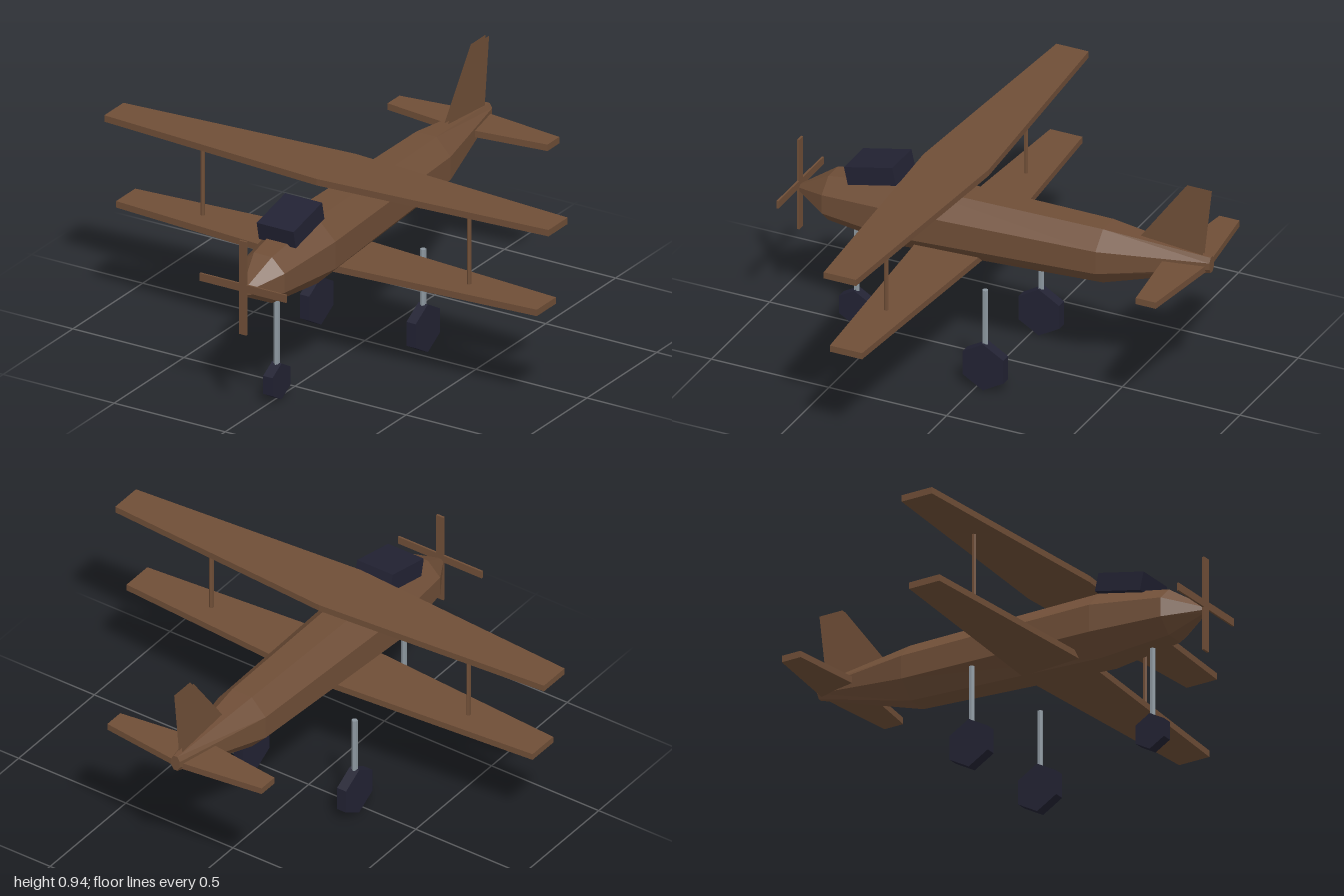
import * as THREE from 'three';

const material = (name, color) => {
  const m = new THREE.MeshStandardMaterial({ color, flatShading: true });
  m.name = name;
  return m;
};

// Tapered surface seen from above, full span, extruded upward from y
function taperedWing(halfSpan, rootFront, rootBack, tipFront, tipBack, y, thickness) {
  const shape = new THREE.Shape([
    [0, rootFront], [halfSpan, tipFront], [halfSpan, tipBack],
    [0, rootBack], [-halfSpan, tipBack], [-halfSpan, tipFront],
  ].map(([x, z]) => new THREE.Vector2(x, -z)));
  return new THREE.ExtrudeGeometry(shape, { depth: thickness, bevelEnabled: false })
    .rotateX(-Math.PI / 2).translate(0, y, 0);
}

// Octagonal body lofted through stations [z, halfWidth, bottom, top]
function loftBody(stations) {
  const sides = 8, positions = [], index = [];
  const k = 1 / Math.cos(Math.PI / sides);
  for (const [z, w, bottom, top] of stations) {
    for (let i = 0; i < sides; i++) {
      const a = (i + 0.5) * 2 * Math.PI / sides;
      positions.push(w * k * Math.cos(a), (top + bottom) / 2 + (top - bottom) / 2 * k * Math.sin(a), z);
    }
  }
  const last = (stations.length - 1) * sides;
  for (let s = 0; s < last; s += sides) {
    for (let i = 0; i < sides; i++) {
      const j = (i + 1) % sides;
      const a = s + i, b = s + j, c = a + sides, d = b + sides;
      index.push(a, c, b, b, c, d);
    }
  }
  for (let i = 1; i < sides - 1; i++) {
    index.push(0, i, i + 1, last, last + i + 1, last + i);
  }
  const g = new THREE.BufferGeometry();
  g.setAttribute('position', new THREE.Float32BufferAttribute(positions, 3));
  g.setIndex(index);
  const flat = g.toNonIndexed();
  flat.computeVertexNormals();
  return flat;
}

export function createModel() {
  const brown = material('brown paint', 0x6f4e37);
  const dark = material('dark rubber and glass', 0x222233);
  const grey = material('grey metal', 0x8c979f);
  const finBrown = material('brown fin sheet', 0x6f4e37);
  finBrown.side = THREE.DoubleSide;

  const model = new THREE.Group();
  model.name = 'biplane';
  const add = (name, geometry, mat, x = 0, y = 0, z = 0, parent = model) => {
    const mesh = new THREE.Mesh(geometry, mat);
    mesh.name = name;
    mesh.position.set(x, y, z);
    parent.add(mesh);
    return mesh;
  };

  add('fuselage', loftBody([
    [0.87, 0.014, 0.517, 0.547],
    [0.73, 0.098, 0.445, 0.637],
    [0.43, 0.138, 0.417, 0.69],
    [-0.44, 0.11, 0.463, 0.695],
    [-0.88, 0.02, 0.595, 0.66],
  ]), brown);

  // Wings and tailplane
  add('upperWing', taperedWing(1, 0.345, 0.068, 0.275, 0.138, 0.78, 0.027), brown);
  add('lowerWing', taperedWing(0.947, 0.345, 0.068, 0.275, 0.138, 0.434, 0.027), brown);
  add('tailplane', taperedWing(0.36, -0.69, -0.865, -0.735, -0.82, 0.598, 0.027), brown);

  // Tail fin made of two thin side sheets; shape x is -z
  const finShape = new THREE.Shape([[0.58, 0.68], [0.845, 0.655], [0.877, 0.942], [0.772, 0.942]]
    .map(([a, b]) => new THREE.Vector2(a, b)));
  for (const side of [-1, 1]) {
    add(side > 0 ? 'leftFinSheet' : 'rightFinSheet',
      new THREE.ShapeGeometry(finShape).rotateY(Math.PI / 2), finBrown, side * 0.008);
  }

  // Canopy tilted down toward the nose
  add('canopy', new THREE.BoxGeometry(0.166, 0.075, 0.21), dark, 0, 0.704, 0.532).rotation.x = 0.22;

  // Crossed propeller blades
  const propeller = new THREE.Group();
  propeller.name = 'propeller';
  propeller.position.set(0, 0.553, 0.87);
  model.add(propeller);
  add('verticalBlade', new THREE.BoxGeometry(0.034, 0.39, 0.009), brown, 0, 0, 0, propeller);
  add('horizontalBlade', new THREE.BoxGeometry(0.39, 0.032, 0.008), brown, 0, 0, 0, propeller);

  // Struts between the wings
  for (const side of [-1, 1]) {
    add(side > 0 ? 'leftWingStrut' : 'rightWingStrut',
      new THREE.CylinderGeometry(0.009, 0.009, 0.33, 6), brown, side * 0.6, 0.62, 0.207);
  }

  // Landing gear: hexagonal wheels on thin legs
  const legTop = 0.428;
  for (const [name, x, z, r] of [
    ['nose', 0, 0.63, 0.075], ['left', 0.24, -0.036, 0.1], ['right', -0.24, -0.036, 0.1],
  ]) {
    const wheel = new THREE.CylinderGeometry(r, r, 0.042, 6).rotateY(Math.PI / 6).rotateZ(Math.PI / 2);
    add(name + 'Wheel', wheel, dark, x, r, z);
    add(name + 'Leg', new THREE.CylinderGeometry(0.012, 0.012, legTop - r, 6), grey, x, (legTop + r) / 2, z);
  }
  return model;
}
